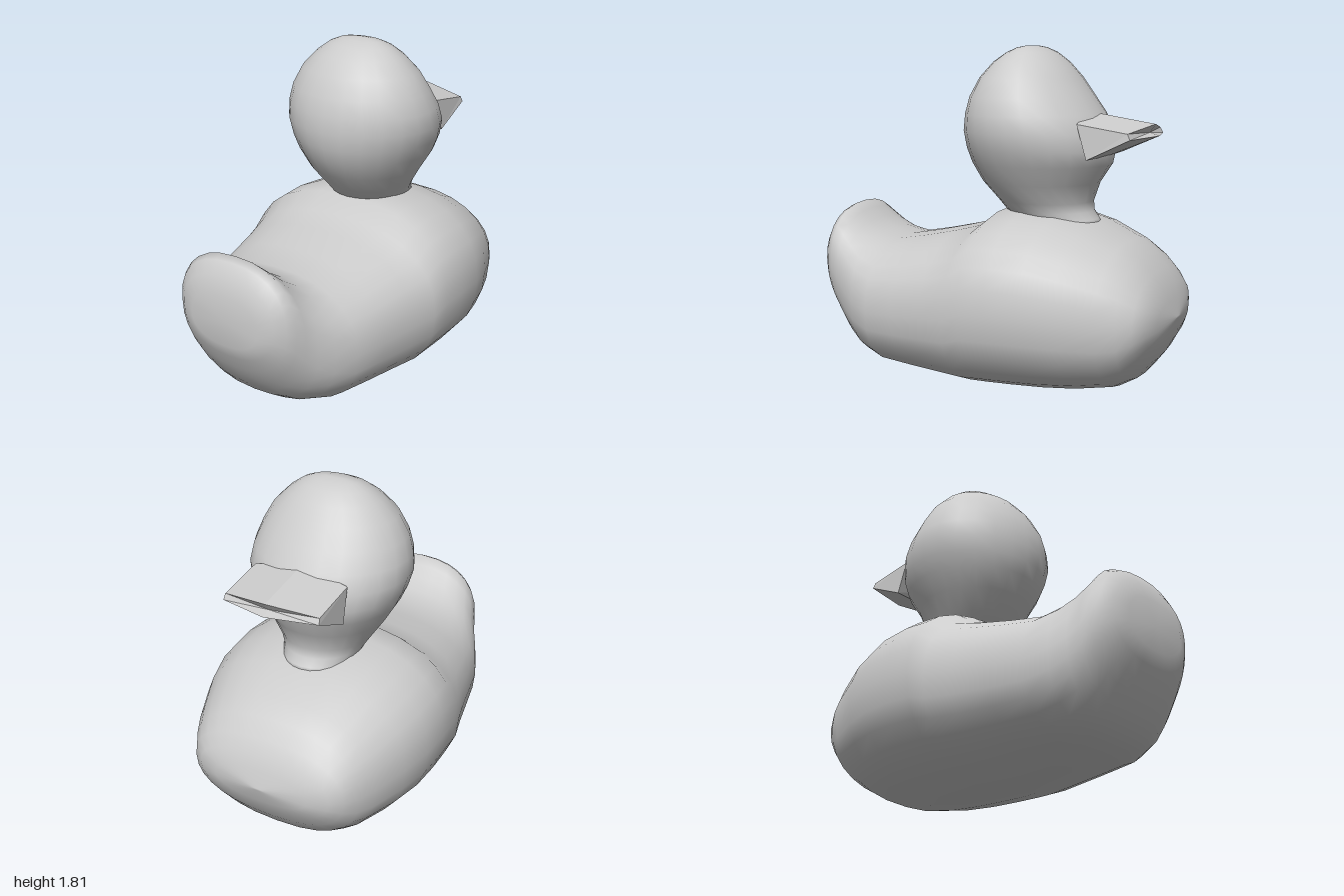
import * as THREE from 'three';

// Skin a list of closed rings (arrays of Vector3), closing both ends with a fan.
function loft(rings) {
  const n = rings[0].length;
  const collapse = ring => {
    const c = new THREE.Vector3();
    ring.forEach(p => c.addScaledVector(p, 1 / n));
    return ring.map(() => c.clone());
  };
  const all = [collapse(rings[0]), ...rings, collapse(rings[rings.length - 1])];
  const index = [];
  for (let i = 0; i < all.length - 1; i++) {
    for (let j = 0; j < n; j++) {
      const k = (j + 1) % n;
      const a = i * n + j, b = i * n + k, c = a + n, d = b + n;
      index.push(a, b, c, b, d, c);
    }
  }
  const geometry = new THREE.BufferGeometry().setFromPoints(all.flat());
  geometry.setIndex(index);
  geometry.computeVertexNormals();
  return geometry;
}

// Superellipse ring; place(c, s) turns the two unit coordinates into a point.
function ring(sides, power, place) {
  const bulge = v => Math.sign(v) * Math.pow(Math.abs(v), 2 / power);
  return Array.from({ length: sides }, (_, j) => {
    const t = (j / sides) * Math.PI * 2;
    return place(bulge(Math.cos(t)), bulge(Math.sin(t)));
  });
}

function part(name, geometry, flatShading = false) {
  const material = new THREE.MeshStandardMaterial({ color: 0xcccccc, flatShading });
  const mesh = new THREE.Mesh(geometry, material);
  mesh.name = name;
  return mesh;
}

export function createModel() {
  const duck = new THREE.Group();
  duck.name = 'duck';

  // Body with upturned tail: x, bottom y, top y, half width
  const bodySections = [
    [-1, 0.48, 0.75, 0.21], [-0.97, 0.41, 0.84, 0.29], [-0.93, 0.33, 0.905, 0.34],
    [-0.89, 0.265, 0.925, 0.37], [-0.84, 0.195, 0.885, 0.39], [-0.78, 0.13, 0.835, 0.42],
    [-0.7, 0.078, 0.785, 0.465], [-0.58, 0.04, 0.752, 0.515], [-0.4, 0.026, 0.785, 0.555],
    [-0.2, 0.013, 0.83, 0.6], [-0.05, 0.005, 0.87, 0.64], [0.05, 0.005, 0.95, 0.655],
    [0.2, 0.01, 0.96, 0.66], [0.38, 0.018, 0.945, 0.65], [0.55, 0.03, 0.9, 0.605],
    [0.74, 0.06, 0.815, 0.53], [0.83, 0.11, 0.75, 0.485], [0.9, 0.2, 0.67, 0.44],
    [0.945, 0.28, 0.6, 0.38], [0.975, 0.34, 0.525, 0.27], [1, 0.425, 0.435, 0.03],
  ];
  duck.add(part('body', loft(bodySections.map(([x, low, high, w]) =>
    ring(28, 2.35, (c, s) => new THREE.Vector3(
      x, (low + high) / 2 + c * (high - low) / 2, s * w))))));

  // Head and neck: y, back x, front x, half width
  const headSections = [
    [0.87, 0.14, 0.57, 0.18], [0.91, 0.1, 0.55, 0.2], [0.95, 0.04, 0.52, 0.215],
    [1.0, 0, 0.513, 0.245], [1.1, -0.09, 0.545, 0.31], [1.2, -0.147, 0.61, 0.37],
    [1.28, -0.173, 0.625, 0.405], [1.37, -0.185, 0.61, 0.43], [1.46, -0.175, 0.565, 0.42],
    [1.55, -0.15, 0.5, 0.39], [1.65, -0.095, 0.43, 0.335], [1.73, -0.025, 0.36, 0.255],
    [1.78, 0.045, 0.295, 0.185], [1.805, 0.1, 0.24, 0.125], [1.815, 0.15, 0.19, 0.06],
  ];
  duck.add(part('head', loft(headSections.map(([y, back, front, w]) =>
    ring(24, 2, (c, s) => new THREE.Vector3(
      (back + front) / 2 + s * (front - back) / 2, y, c * w))))));

  // Faceted beak: each section is ridge, upper edge, lower edge, keel as [x, y, z]
  const beakSections = [
    [[0.5, 1.475, 0], [0.53, 1.425, 0.262], [0.585, 1.245, 0.268], [0.6, 1.245, 0]],
    [[0.86, 1.42, 0], [0.8, 1.385, 0.262], [0.815, 1.355, 0.266], [0.88, 1.36, 0]],
  ];
  duck.add(part('beak', loft(beakSections.map(([ridge, upper, lower, keel]) => {
    const mirror = ([x, y, z]) => [x, y, -z];
    return [ridge, upper, lower, keel, mirror(lower), mirror(upper)]
      .map(p => new THREE.Vector3(...p));
  })), true));

  return duck;
}
